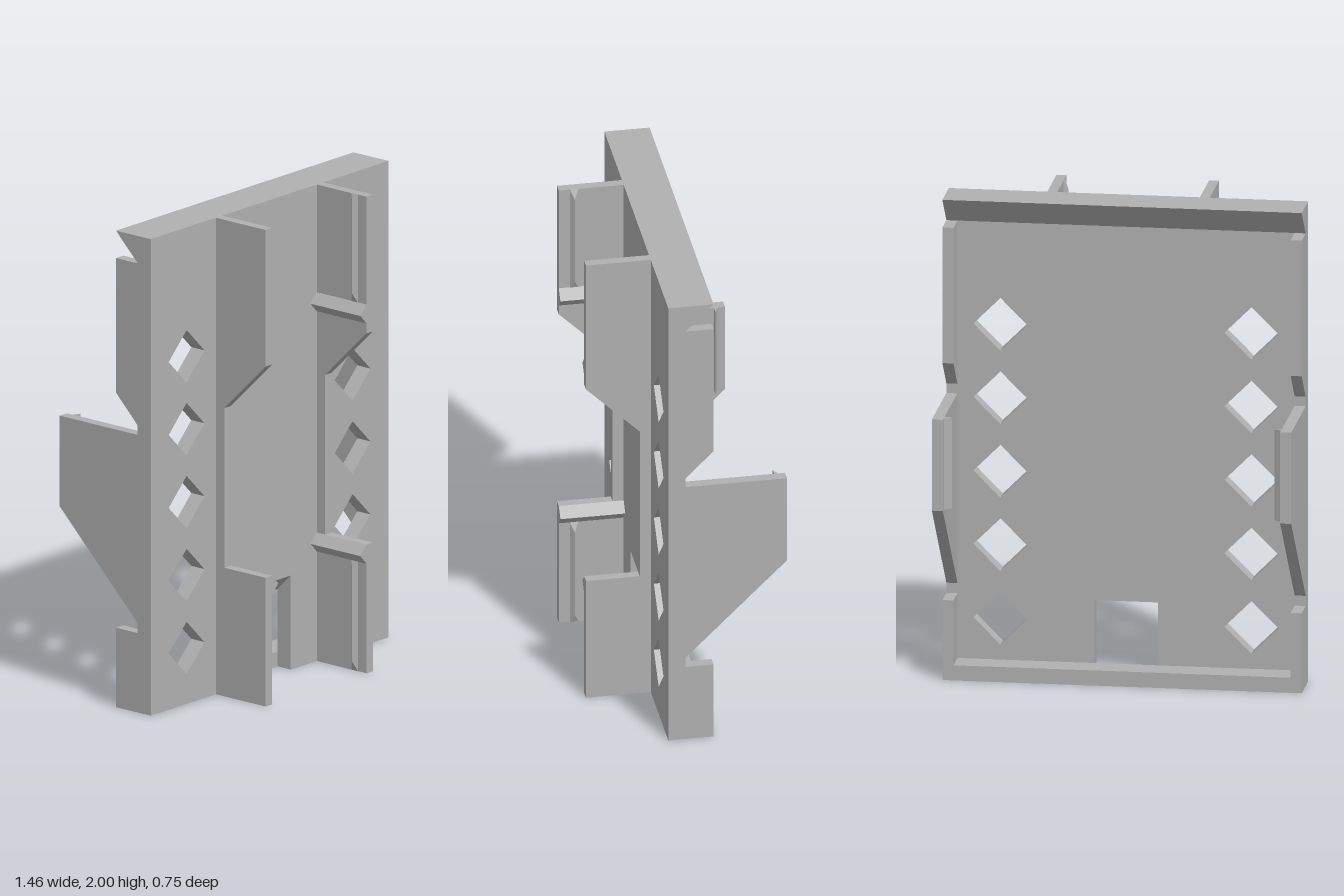
import * as THREE from 'three';
import { ConvexGeometry } from 'three/addons/geometries/ConvexGeometry.js';

const W = 0.73, FRONT = 0.11, BACK = 0.04, LIP = -0.075;

const shapeOf = (pts) => new THREE.Shape(pts.map(([a, b]) => new THREE.Vector2(a, b)));
const extrude = (shape, depth) => new THREE.ExtrudeGeometry(shape, { depth, bevelEnabled: false });

// Profile of [z, y] points, swept along x from x0 to x1
const sweepX = (pts, x0, x1) =>
  extrude(shapeOf(pts), x1 - x0).rotateY(-Math.PI / 2).translate(x1, 0, 0);

// Profile of [x, z] points, swept along y from y0 to y1
const sweepY = (pts, y0, y1) =>
  extrude(shapeOf(pts.map(([x, z]) => [x, -z])), y1 - y0).rotateX(-Math.PI / 2).translate(0, y0, 0);

// Profile of [x, y] points, swept along z from z0 to z1
const sweepZ = (pts, z0, z1) => extrude(shapeOf(pts), z1 - z0).translate(0, 0, z0);

export function createModel() {
  const model = new THREE.Group();
  model.name = 'clipPanel';
  const grey = new THREE.MeshStandardMaterial({ color: 0xb0b0b0 });
  grey.name = 'grey plastic';
  const add = (name, geometry) => {
    const mesh = new THREE.Mesh(geometry, grey);
    mesh.name = name;
    model.add(mesh);
  };

  // Back plate with a notch at the bottom and two columns of diamond holes
  const plate = shapeOf([
    [-W, 0], [-0.13, 0], [-0.13, 0.395], [0.13, 0.395], [0.13, 0], [W, 0], [W, 2], [-W, 2],
  ]);
  const r = 0.11;
  for (const x of [-0.51, 0.51]) {
    for (let i = 0; i < 5; i++) {
      const y = 0.235 + i * 0.306;
      plate.holes.push(new THREE.Path(
        [[x - r, y], [x, y + r], [x + r, y], [x, y - r]].map((p) => new THREE.Vector2(...p))));
    }
  }
  add('plate', extrude(plate, FRONT - BACK).translate(0, 0, BACK));

  // Sloped upper edge of the notch, and the lips along the back
  add('notchSlope', sweepX([[BACK, 0.325], [FRONT, 0.395], [BACK, 0.395]], -0.13, 0.13));
  add('bottomLip', sweepX([[LIP, 0], [BACK, 0], [BACK, 0.063], [LIP, 0.063]], -W, W));
  add('topLip', sweepX([[BACK, 1.885], [BACK, 2], [LIP, 2]], -W, W));

  for (const [side, s] of [['left', 1], ['right', -1]]) {
    // Side walls along the back
    const wall = (name, pts) =>
      add(side + name, sweepX(pts, s > 0 ? 0.685 : -W, s > 0 ? W : -0.685));
    wall('LowerWall', [[BACK, 0], [BACK, 0.333], [LIP, 0.333], [LIP, 0]]);
    wall('UpperWall', [[BACK, 1.205], [BACK, 1.885], [LIP, 1.885], [LIP, 1.32]]);
    wall('Arm', [[BACK, 0.375], [BACK, 1.165], [-0.375, 1.165], [-0.375, 0.785]]);
    // Barb at the end of the arm
    add(side + 'ArmBarb', sweepY([[s * W, -0.375], [s * 0.655, -0.33], [s * W, -0.33]], 0.785, 1.165));

    // Front rail: tall at both ends, low in the middle
    add(side + 'Rail', sweepX([
      [FRONT, 0], [0.375, 0], [0.375, 0.54], [0.155, 0.54],
      [0.155, 1.21], [0.375, 1.427], [0.375, 2], [FRONT, 2],
    ], s > 0 ? 0.29 : -0.33, s > 0 ? 0.33 : -0.29));

    // Stop ridges and tapered snap ribs on the inner faces of the rail
    for (const [y0, y1, ridge] of [[0, 0.46, 0.5], [1.545, 2, 1.508]]) {
      add(side + 'StopRidge', sweepZ(
        [[s * 0.29, ridge - 0.04], [s * 0.252, ridge], [s * 0.29, ridge + 0.04]], FRONT, 0.375));
      add(side + 'SnapRib', new ConvexGeometry([
        [0.29, y0, 0.295], [0.29, y0, 0.33], [0.29, y1, 0.295], [0.29, y1, 0.33],
        [0.273, y0 + 0.04, 0.3125], [0.273, y1 - 0.04, 0.3125],
      ].map(([x, y, z]) => new THREE.Vector3(s * x, y, z))));
    }
  }
  return model;
}
